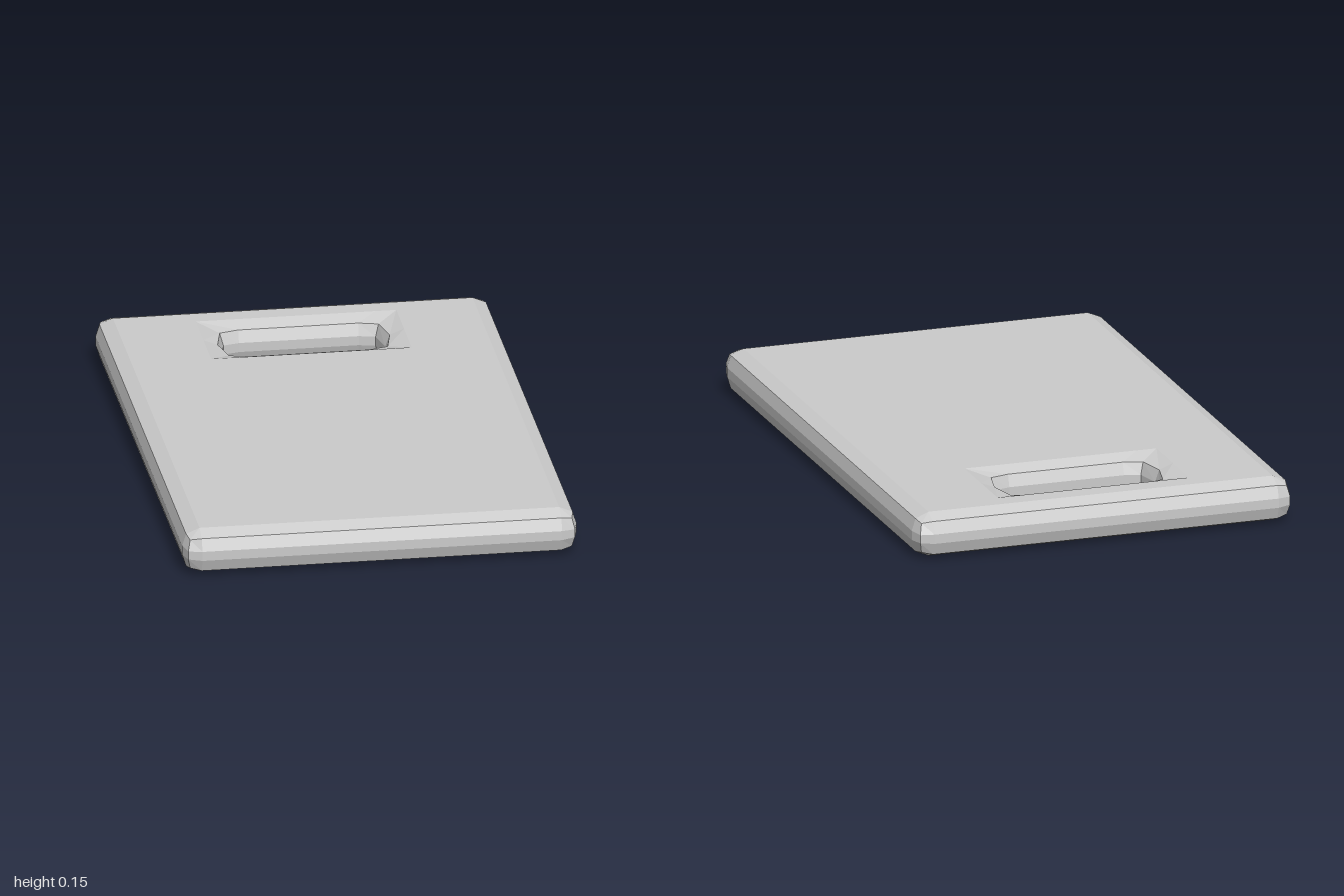
import * as THREE from 'three';

const H = 0.152; // board thickness
const HOLE_Z = -0.698; // centre of the hand hole

// Full loop from one quarter profile (front point, corner point, side point), each [x, y, z]
function ring(quarter, cz = 0, flip = false) {
  const back = [...quarter].reverse();
  const loop = [];
  for (const [pts, sx, sz] of [[quarter, 1, 1], [back, 1, -1], [quarter, -1, -1], [back, -1, 1]]) {
    for (const [x, y, z] of pts) loop.push(new THREE.Vector3(sx * x, flip ? H - y : y, cz + sz * z));
  }
  return loop;
}

// Skin a closed chain of rings with flat faces, leaving out collapsed triangles
function skin(rings) {
  const pos = [];
  const tri = new THREE.Triangle();
  const add = (a, b, c) => {
    if (tri.set(a, b, c).getArea() > 1e-8) for (const p of [a, b, c]) pos.push(p.x, p.y, p.z);
  };
  rings.forEach((r, j) => {
    const s = rings[(j + 1) % rings.length];
    r.forEach((p, i) => {
      const k = (i + 1) % r.length;
      add(p, s[i], s[k]);
      add(p, s[k], r[k]);
    });
  });
  const g = new THREE.BufferGeometry();
  g.setAttribute('position', new THREE.Float32BufferAttribute(pos, 3));
  g.computeVertexNormals();
  return g;
}

export function createModel() {
  const group = new THREE.Group();
  group.name = 'cuttingBoard';

  // Outer edge, from the flat top down to the middle
  const outer = [
    [[0.6, H, 0.935], [0.6, H, 0.935], [0.6, H, 0.935]],
    [[0.6, 0.133, 0.985], [0.637, 0.126, 0.972], [0.645, 0.133, 0.935]],
    [[0.6, 0.092, 1.0], [0.645, 0.09, 0.985], [0.658, 0.092, 0.935]],
  ];
  // Hand hole, from its flat surround down to the middle
  const hole = [
    [[0.265, H, 0.167], [0.335, H, 0.167], [0.335, H, 0]],
    [[0.2, 0.133, 0.118], [0.265, 0.133, 0.1], [0.287, 0.133, 0]],
    [[0.2, 0.092, 0.104], [0.254, 0.092, 0.09], [0.272, 0.092, 0]],
  ];

  // Down the outside, across the underside, and up through the hole
  const rings = [
    ...outer.map((q) => ring(q)),
    ...[...outer].reverse().map((q) => ring(q, 0, true)),
    ...hole.map((q) => ring(q, HOLE_Z, true)),
    ...[...hole].reverse().map((q) => ring(q, HOLE_Z)),
  ];

  const material = new THREE.MeshStandardMaterial({ color: 0xcccccc, flatShading: true });
  const board = new THREE.Mesh(skin(rings), material);
  board.name = 'board';
  group.add(board);
  return group;
}
